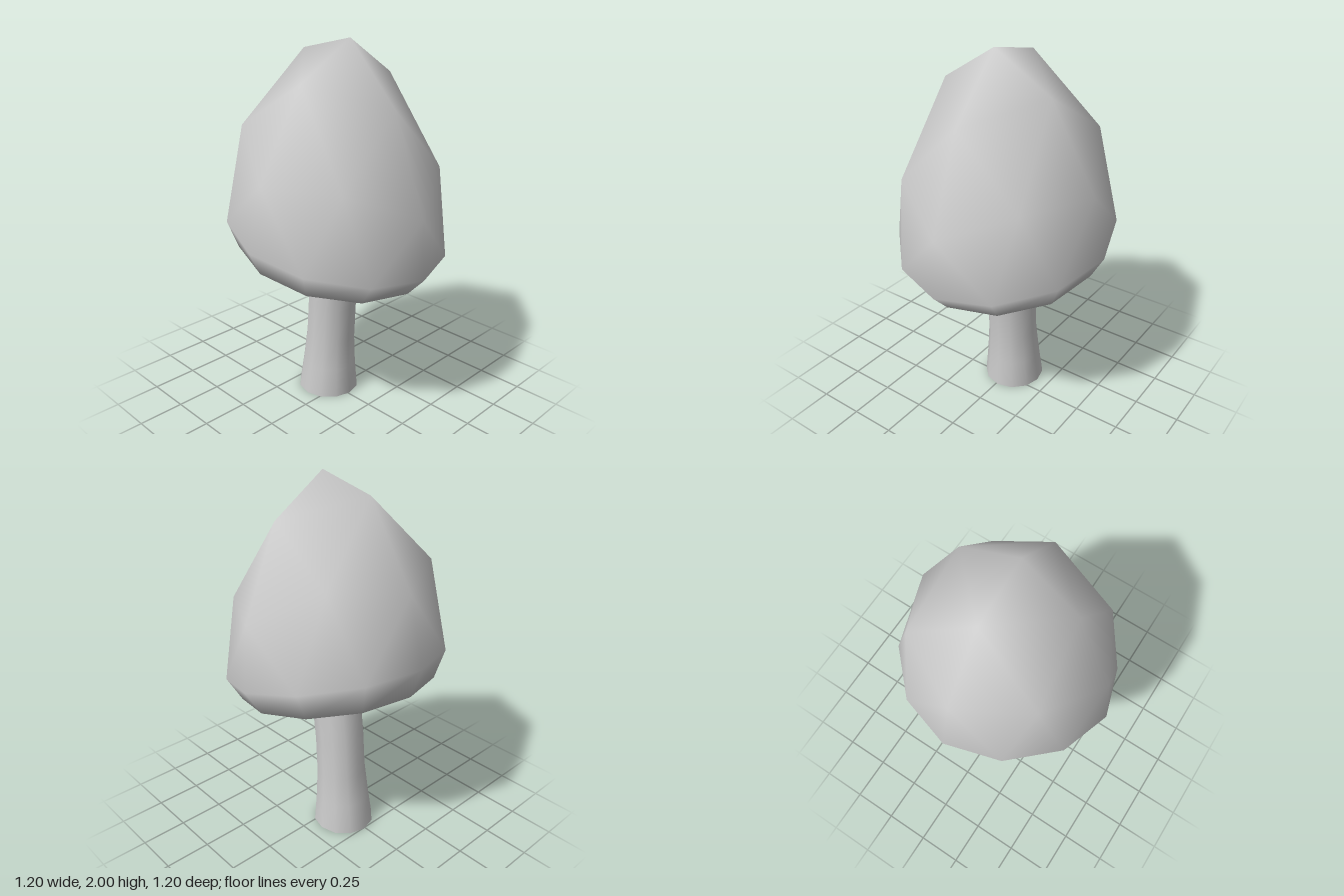
import * as THREE from 'three';

// Skin a stack of tilted rings. Each ring has n segments per quarter turn, and the
// next one up has n or n - 1; n = 0 is a single closing point.
// drop tilts the ring across x; lift and shrink act between the x and z axes.
function loft(rings, floor) {
  const pos = [], index = [];
  const levels = rings.map(({ n, c, rx = 0, rz = rx, drop = 0, lift = 0, shrink = 0 }) => {
    const start = pos.length / 3, count = Math.max(1, 4 * n);
    for (let i = 0; i < count; i++) {
      const t = (i / count) * Math.PI * 2;
      const a = t - 0.5 * shrink * Math.sin(4 * t);
      const s = Math.sin(2 * a) ** 2, k = 1 - shrink * s;
      pos.push(
        c[0] + rx * k * Math.cos(a),
        c[1] - drop * k * Math.cos(a) + lift * s,
        c[2] + rz * k * Math.sin(a),
      );
    }
    return { n, count, at: (i) => start + (i % count) };
  });
  for (let l = 0; l < levels.length - 1; l++) {
    const L = levels[l], U = levels[l + 1];
    for (let q = 0; q < 4; q++) {
      const lo = (i) => L.at(q * L.n + i), up = (i) => U.at(q * U.n + i);
      for (let i = 0; i < L.n; i++) index.push(lo(i), up(i), lo(i + 1));
      for (let i = 0; i < U.n; i++) index.push(lo(i + 1), up(i), up(i + 1));
    }
  }
  if (floor) {
    const centre = pos.length / 3, { count, at } = levels[0];
    pos.push(...floor);
    for (let i = 0; i < count; i++) index.push(at(i), at(i + 1), centre);
  }
  const geo = new THREE.BufferGeometry();
  geo.setAttribute('position', new THREE.Float32BufferAttribute(pos, 3));
  geo.setIndex(index);
  geo.computeVertexNormals();
  return geo;
}

export function createModel() {
  const group = new THREE.Group();
  group.name = 'mushroom';
  const add = (name, geo, side) => {
    const mesh = new THREE.Mesh(geo, new THREE.MeshStandardMaterial({ color: 0xcccccc, side }));
    mesh.name = name;
    group.add(mesh);
  };

  // Tilted cap: 12, 12, 8 and 4 sided rings up to the tip, slightly hollow underneath
  add('cap', loft([
    { n: 3, c: [-0.02, 0.887, 0], rx: 0.52, drop: 0.11 },
    { n: 3, c: [0, 1.025, 0], rx: 0.6, drop: 0.143, shrink: 0.03 },
    { n: 2, c: [0.035, 1.357, 0], rx: 0.545, drop: 0.168, lift: 0.1, shrink: 0.07 },
    { n: 1, c: [0.075, 1.808, 0], rx: 0.315, drop: 0.122 },
    { n: 0, c: [0.09, 2, 0] },
  ], [-0.013, 0.915, 0]), THREE.FrontSide);

  // Bent, open stem that flares at the foot
  add('stem', loft([
    { n: 3, c: [-0.081, 0, -0.01], rx: 0.174, rz: 0.17 },
    { n: 3, c: [-0.072, 0.17, -0.01], rx: 0.154, rz: 0.152, drop: 0.004 },
    { n: 3, c: [-0.061, 0.34, -0.01], rx: 0.14, rz: 0.138, drop: 0.008 },
    { n: 3, c: [-0.048, 0.55, -0.01], rx: 0.138, rz: 0.135, drop: 0.015 },
    { n: 3, c: [-0.027, 0.72, -0.01], rx: 0.136, rz: 0.135, drop: 0.02 },
    { n: 3, c: [-0.002, 0.865, -0.01], rx: 0.134, rz: 0.135, drop: 0.025 },
  ]), THREE.DoubleSide);

  return group;
}
